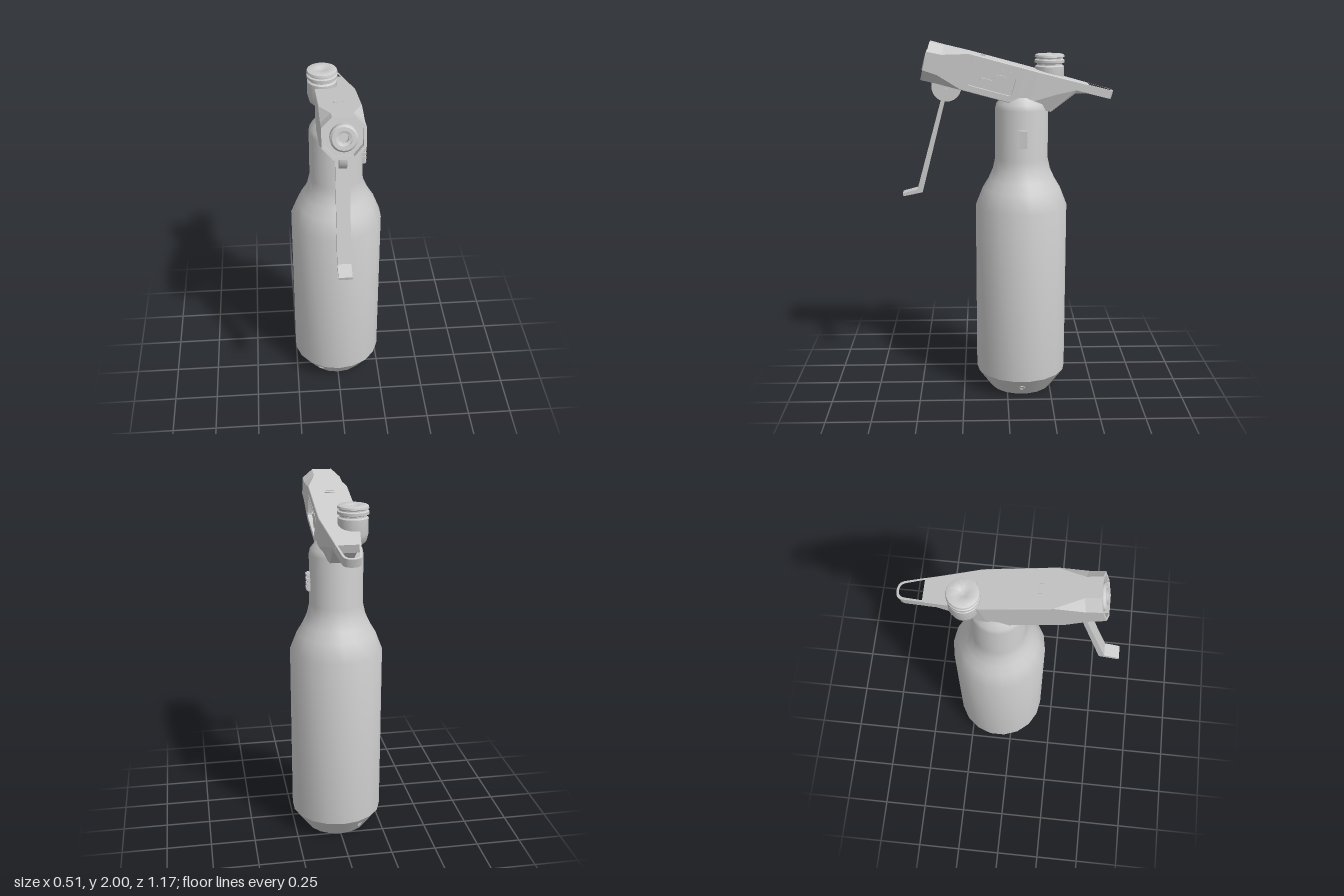
import * as THREE from 'three';
import { toCreasedNormals } from 'three/addons/utils/BufferGeometryUtils.js';

const grey = new THREE.MeshStandardMaterial({ color: 0xcccccc });

function add(parent, name, geometry, x = 0, y = 0, z = 0, crease = 0.6) {
  const mesh = new THREE.Mesh(toCreasedNormals(geometry, crease), grey);
  mesh.name = name;
  mesh.position.set(x, y, z);
  parent.add(mesh);
  return mesh;
}

const lathe = (pts, sides) =>
  new THREE.LatheGeometry(pts.map(([r, y]) => new THREE.Vector2(r, y)), sides);
const polygon = (pts) => new THREE.Shape(pts.map(([x, y]) => new THREE.Vector2(x, y)));
const extrude = (shape, depth) =>
  new THREE.ExtrudeGeometry(shape, { depth, bevelEnabled: false, curveSegments: 6 });

function roundedRect(Type, x0, y0, x1, y1, r) {
  const s = new Type();
  s.moveTo(x0 + r, y0).lineTo(x1 - r, y0).quadraticCurveTo(x1, y0, x1, y0 + r);
  s.lineTo(x1, y1 - r).quadraticCurveTo(x1, y1, x1 - r, y1);
  s.lineTo(x0 + r, y1).quadraticCurveTo(x0, y1, x0, y1 - r);
  s.lineTo(x0, y0 + r).quadraticCurveTo(x0, y0, x0 + r, y0);
  return s;
}

// Eight-sided section: half width, height, top and bottom chamfers (across, down)
function section(u, w, h, tx, ty, bx, by) {
  return [[w - tx, 0], [tx - w, 0], [-w, -ty], [-w, by - h],
    [bx - w, -h], [w - bx, -h], [w, by - h], [w, -ty]].map(([x, y]) => [x, y, -u]);
}

function loft(sections, isOpen) {
  const pos = [];
  const tri = (...p) => p.forEach((q) => pos.push(...q));
  for (let s = 0; s < sections.length - 1; s++) {
    const a = sections[s], b = sections[s + 1];
    for (let k = 0; k < 8; k++) {
      const n = (k + 1) % 8;
      if (isOpen(s, k)) continue;
      tri(a[k], b[k], b[n]);
      tri(a[k], b[n], a[n]);
    }
  }
  const first = sections[0], last = sections[sections.length - 1];
  for (let k = 1; k < 7; k++) {
    tri(first[0], first[k], first[k + 1]);
    tri(last[0], last[k + 1], last[k]);
  }
  const g = new THREE.BufferGeometry();
  g.setAttribute('position', new THREE.Float32BufferAttribute(pos, 3));
  return g;
}

function buildHead() {
  const head = new THREE.Group();
  head.name = 'head';
  head.position.set(0, 2, 0.415);
  head.rotation.x = -THREE.MathUtils.degToRad(15);

  // Housing: recessed octagonal mouth, square middle, tapered rear
  const front = section(0, 0.108, 0.21, 0.053, 0.05, 0.053, 0.06);
  const inner = (u) => front.map(([x, y]) => [x * 0.86, (y + 0.105) * 0.86 - 0.105, -u]);
  const sections = [
    inner(0.04), inner(0), front,
    section(0.08, 0.108, 0.205, 0.053, 0.045, 0.04, 0.05),
    section(0.22, 0.108, 0.2, 0.003, 0.003, 0.003, 0.003),
    section(0.53, 0.108, 0.2, 0.003, 0.003, 0.003, 0.003),
    section(0.6, 0.107, 0.2, 0.003, 0.003, 0.01, 0.03),
    section(0.73, 0.088, 0.195, 0.003, 0.003, 0.03, 0.1),
    section(0.83, 0.074, 0.065, 0.003, 0.003, 0.01, 0.02),
    section(0.89, 0.066, 0.047, 0.002, 0.002, 0.002, 0.002),
  ];
  add(head, 'housing', loft(sections, (s, k) => s === 4 && k === 6), 0, 0, 0, 0.1);

  // Side panel with a recessed window and a keyhole-shaped latch
  const panel = polygon([[0.22, -0.197], [0.53, -0.197], [0.53, -0.003], [0.22, -0.003]]);
  panel.holes.push(roundedRect(THREE.Path, 0.247, -0.165, 0.497, -0.05, 0.02));
  add(head, 'sidePanel', extrude(panel, 0.03).rotateY(Math.PI / 2), 0.078, 0, 0);
  const rim = roundedRect(THREE.Shape, 0.236, -0.176, 0.508, -0.039, 0.024);
  rim.holes.push(roundedRect(THREE.Path, 0.247, -0.165, 0.497, -0.05, 0.02));
  add(head, 'panelRim', extrude(rim, 0.003).rotateY(Math.PI / 2), 0.107, 0, 0);
  add(head, 'panelFloor', new THREE.BoxGeometry(0.01, 0.18, 0.3), 0.075, -0.1, -0.375);
  add(head, 'latchDisc', new THREE.CylinderGeometry(0.04, 0.04, 0.022, 20).rotateZ(Math.PI / 2),
    0.09, -0.108, -0.42);
  add(head, 'latchArm', new THREE.BoxGeometry(0.018, 0.018, 0.09), 0.088, -0.118, -0.355);

  // Hanging loop at the rear
  const loop = new THREE.Shape();
  loop.moveTo(-0.066, 0.885).lineTo(-0.05, 1.0).quadraticCurveTo(-0.045, 1.036, 0, 1.036);
  loop.quadraticCurveTo(0.045, 1.036, 0.05, 1.0).lineTo(0.066, 0.885);
  const eye = new THREE.Path();
  eye.moveTo(-0.055, 0.893).lineTo(-0.039, 0.99).quadraticCurveTo(-0.034, 1.023, 0, 1.023);
  eye.quadraticCurveTo(0.034, 1.023, 0.039, 0.99).lineTo(0.055, 0.893);
  loop.holes.push(eye);
  add(head, 'hangingLoop', extrude(loop, 0.046).rotateX(-Math.PI / 2), 0, -0.046, 0);

  // Small raised slot on the top face
  const slot = roundedRect(THREE.Shape, -0.028, 0.282, 0.028, 0.308, 0.006);
  slot.holes.push(roundedRect(THREE.Path, -0.022, 0.287, 0.022, 0.303, 0.004));
  add(head, 'topSlot', extrude(slot, 0.004).rotateX(-Math.PI / 2));

  // Nozzle with a stepped bore
  const nozzle = lathe([[0, -0.01], [0.025, -0.01], [0.025, 0.02], [0.04, 0.025], [0.04, 0.035],
    [0.058, 0.035], [0.068, 0.025], [0.068, -0.02]].reverse(), 24);
  nozzle.rotateX(Math.PI / 2);
  add(head, 'nozzle', nozzle, 0, -0.105, -0.028);
  return head;
}

export function createModel() {
  const model = new THREE.Group();
  const axisZ = -0.082;

  // Bottle with a hollow base and narrow neck
  add(model, 'bottle', lathe([[0, 0.045], [0.08, 0.04], [0.122, 0.025], [0.122, 0], [0.177, 0],
    [0.257, 0.11], [0.257, 1.09], [0.218, 1.19], [0.185, 1.245], [0.16, 1.3], [0.147, 1.36],
    [0.147, 1.635], [0.14, 1.665], [0.12, 1.69], [0.1, 1.72], [0, 1.72]], 18), 0, 0, axisZ);

  // Three small vent eyelets around the base chamfer
  for (let i = 0; i < 3; i++) {
    const pivot = new THREE.Group();
    pivot.name = 'baseVent';
    pivot.position.z = axisZ;
    pivot.rotation.y = (i * Math.PI * 2) / 3;
    const ring = add(pivot, 'ventRing', new THREE.TorusGeometry(0.015, 0.004, 6, 14), 0.214, 0.055, 0);
    ring.rotation.set(0, Math.PI / 2, 0);
    ring.rotateX(0.63);
    model.add(pivot);
  }

  // Ribbed button on the neck
  add(model, 'neckButton', new THREE.BoxGeometry(0.03, 0.1, 0.045), 0.143, 1.485, axisZ);
  for (let i = 0; i < 4; i++) {
    add(model, 'buttonRib', new THREE.BoxGeometry(0.03, 0.015, 0.05), 0.15, 1.448 + i * 0.025, axisZ);
  }

  model.add(buildHead());

  // Filler knob: housing below, grooved cap above
  add(model, 'fillerKnob', lathe([[0, 1.7], [0.045, 1.715], [0.07, 1.74], [0.08, 1.78],
    [0.08, 1.86], [0.07, 1.867], [0.07, 1.875], [0.083, 1.88], [0.083, 1.895], [0.073, 1.9],
    [0.073, 1.906], [0.083, 1.911], [0.08, 1.922], [0.072, 1.926], [0.032, 1.926],
    [0.022, 1.92], [0, 1.918]], 24), -0.062, 0, -0.238);

  // Trigger pivot and bent lever
  add(model, 'triggerPivot', new THREE.CylinderGeometry(0.082, 0.082, 0.04, 24).rotateZ(Math.PI / 2),
    0, 1.757, 0.33);
  add(model, 'pivotPin', new THREE.CylinderGeometry(0.018, 0.018, 0.06, 12).rotateZ(Math.PI / 2),
    0, 1.73, 0.335);
  const lever = polygon([[0.35, 1.725], [0.5, 1.187], [0.583, 1.165], [0.58, 1.148],
    [0.472, 1.17], [0.328, 1.725]].map(([z, y]) => [-z, y]));
  add(model, 'triggerLever', extrude(lever, 0.072).rotateY(Math.PI / 2), -0.036, 0, 0);

  return model;
}
